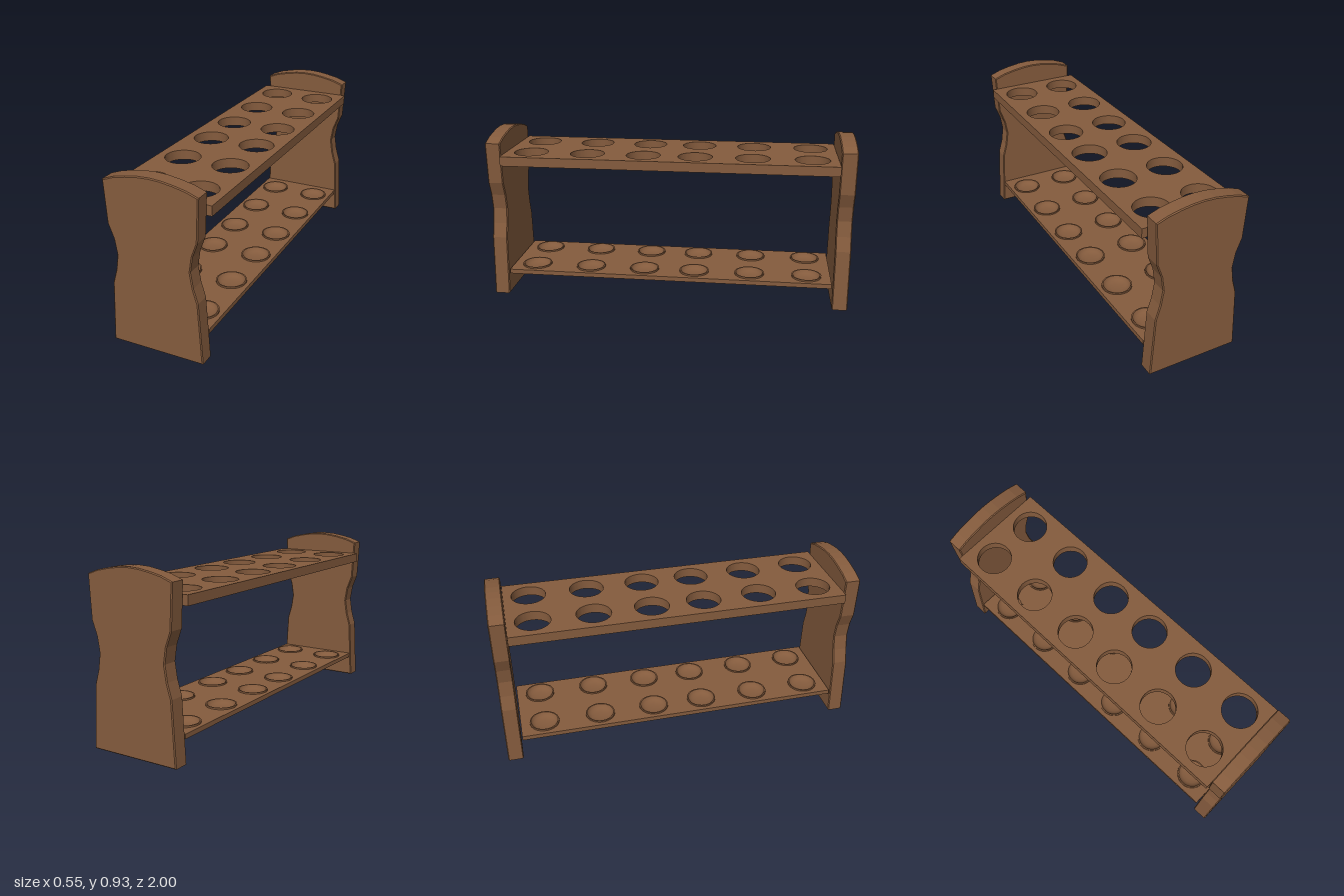
import * as THREE from 'three';
import { toCreasedNormals } from 'three/addons/utils/BufferGeometryUtils.js';

const wood = new THREE.MeshStandardMaterial({ color: 0x845b3d });
wood.name = 'brown wood';

// Centres of the two rows of six tube positions
const tubeSpots = [];
for (const x of [-0.137, 0.137])
  for (const z of [0.143, 0.456, 0.775]) tubeSpots.push([x, z], [x, -z]);

function add(parent, name, geometry, x = 0, y = 0, z = 0) {
  const mesh = new THREE.Mesh(geometry, wood);
  mesh.name = name;
  mesh.position.set(x, y, z);
  parent.add(mesh);
  return mesh;
}

// Horizontal board pierced by a round hole at every tube position
function piercedBoard(halfX, halfZ, thickness, holeRadius) {
  const shape = new THREE.Shape([
    new THREE.Vector2(-halfX, -halfZ), new THREE.Vector2(halfX, -halfZ),
    new THREE.Vector2(halfX, halfZ), new THREE.Vector2(-halfX, halfZ),
  ]);
  for (const [x, z] of tubeSpots)
    shape.holes.push(new THREE.Path().absarc(x, -z, holeRadius, 0, Math.PI * 2, true));
  const geometry = new THREE.ExtrudeGeometry(shape, { depth: thickness, bevelEnabled: false, curveSegments: 32 });
  geometry.rotateX(-Math.PI / 2);
  return toCreasedNormals(geometry, 0.6);
}

// Waisted end panel with a gently arched top and a fine chamfer
function endPanelGeometry() {
  const side = [
    [0.253, 0], [0.235, 0.335], [0.212, 0.413], [0.199, 0.497], [0.212, 0.58],
    [0.241, 0.657], [0.253, 0.882], [0.19, 0.905], [0.125, 0.919], [0.06, 0.929],
  ];
  const outline = [...side, [0, 0.932], ...side.map(([x, y]) => [-x, y]).reverse()];
  const shape = new THREE.Shape(outline.map(([x, y]) => new THREE.Vector2(x, y)));
  const bevel = 0.005, thickness = 0.085;
  const geometry = new THREE.ExtrudeGeometry(shape, {
    depth: thickness - 2 * bevel, bevelEnabled: true, bevelSegments: 1,
    bevelSize: bevel, bevelThickness: bevel, bevelOffset: -bevel,
  });
  return geometry.translate(0, 0, bevel - thickness / 2);
}

export function createModel() {
  const rack = new THREE.Group();
  rack.name = 'testTubeRack';

  // End panels
  const panel = endPanelGeometry();
  add(rack, 'frontEndPanel', panel, 0, 0, 0.9575);
  add(rack, 'backEndPanel', panel, 0, 0, -0.9575);

  // Upper shelf with through holes
  add(rack, 'upperShelf', piercedBoard(0.274, 0.914, 0.052, 0.094), 0, 0.763, 0);

  // Lower shelf, closed underneath
  const lower = new THREE.Group();
  lower.name = 'lowerShelf';
  rack.add(lower);
  add(lower, 'lowerShelfBoard', piercedBoard(0.242, 0.908, 0.023, 0.08), 0, 0.122, 0);
  add(lower, 'lowerShelfBase', new THREE.BoxGeometry(0.484, 0.002, 1.816), 0, 0.121, 0);

  // Raised rims with shallow bowls that hold the tube ends
  const profile = [
    [0.083, 0.14], [0.083, 0.154], [0.076, 0.154], [0.071, 0.144],
    [0.063, 0.136], [0.05, 0.13], [0.03, 0.127], [0, 0.126],
  ].map(([r, y]) => new THREE.Vector2(r, y));
  const bowl = toCreasedNormals(new THREE.LatheGeometry(profile, 32), 0.7);
  for (const [x, z] of tubeSpots) add(lower, 'tubeRest', bowl, x, 0, z);

  return rack;
}
